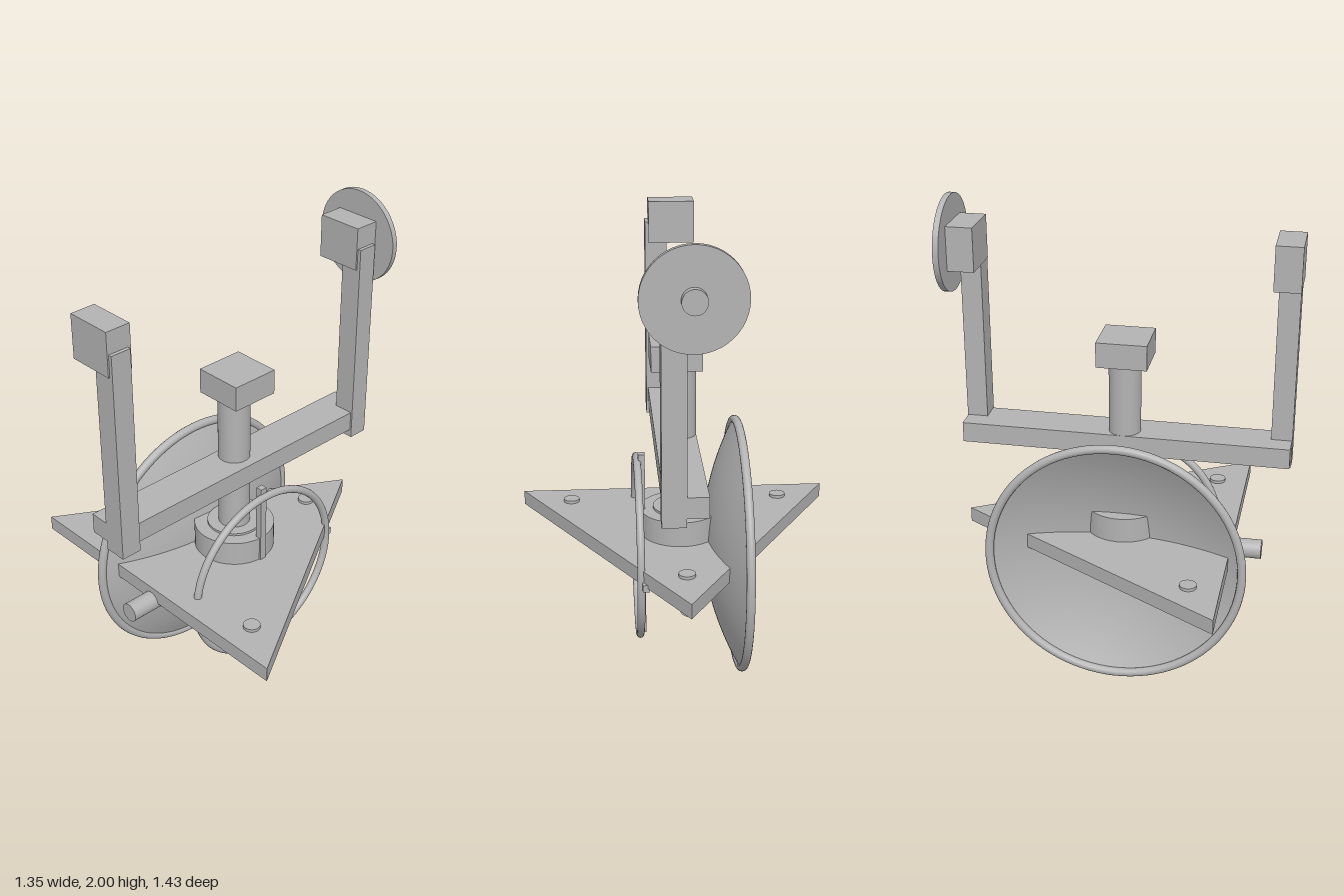
import * as THREE from 'three';

export function createModel() {
  const model = new THREE.Group();
  model.name = 'dishInstrument';
  const grey = new THREE.MeshStandardMaterial({ color: 0xb3b3b3, side: THREE.DoubleSide });
  grey.name = 'plain grey';

  const AXIS_Y = 0.546; // height of the horizontal shafts
  const AXIS_Z = 0.027; // depth of the mast

  const add = (name, geometry, x = 0, y = 0, z = 0) => {
    const mesh = new THREE.Mesh(geometry, grey);
    mesh.name = name;
    mesh.position.set(x, y, z);
    model.add(mesh);
    return mesh;
  };
  // Box given by its lower and upper corners
  const box = (name, [x0, y0, z0], [x1, y1, z1]) =>
    add(name, new THREE.BoxGeometry(x1 - x0, y1 - y0, z1 - z0),
      (x0 + x1) / 2, (y0 + y1) / 2, (z0 + z1) / 2);
  // Cylinder running from start to end along one axis
  const rod = (name, axis, radius, start, end, x, y, z) => {
    const geometry = new THREE.CylinderGeometry(radius, radius, end - start, 48);
    if (axis === 'x') geometry.rotateZ(-Math.PI / 2);
    if (axis === 'z') geometry.rotateX(Math.PI / 2);
    const mesh = add(name, geometry, x, y, z);
    mesh.position[axis] = (start + end) / 2;
    return mesh;
  };
  // Ring facing sideways
  const ring = (name, radius, tube, x, y, z) =>
    add(name, new THREE.TorusGeometry(radius, tube, 14, 96).rotateY(Math.PI / 2), x, y, z);

  // Triangular base plate with three bolts
  const triangle = new THREE.Shape();
  triangle.moveTo(-0.675, -0.492);
  triangle.lineTo(0.675, -0.492);
  triangle.lineTo(0, 0.65);
  triangle.closePath();
  const plate = new THREE.ExtrudeGeometry(triangle, { depth: 0.063, bevelEnabled: false });
  add('basePlate', plate.rotateX(-Math.PI / 2), 0, 0.55, 0);
  for (const [x, z] of [[-0.46, 0.365], [0.46, 0.365], [0, -0.41]])
    rod('plateBolt', 'y', 0.034, 0.6, 0.626, x, 0, z);

  // Mast, its collar and its cap
  rod('mastCollar', 'y', 0.168, 0.58, 0.72, 0, 0, AXIS_Z);
  rod('collarLip', 'y', 0.113, 0.7, 0.73, 0, 0, AXIS_Z);
  rod('mast', 'y', 0.066, 0.6, 1.37, 0, 0, AXIS_Z);
  box('mastCap', [-0.085, 1.35, -0.077], [0.122, 1.455, 0.13]);

  // Shafts below the plate
  rod('longShaft', 'z', 0.04, -0.55, 0.61, 0, AXIS_Y, 0);
  rod('crossShaft', 'x', 0.063, -0.11, 0.155, 0, 0.553, AXIS_Z);

  // Shallow dish, open to the model's right, with a rolled rim
  const profile = [];
  for (let i = 0; i <= 12; i++) {
    const t = i / 12;
    profile.push(new THREE.Vector2(0.528 * t, -0.14 * t * t));
  }
  const dish = new THREE.LatheGeometry(profile, 96).rotateZ(-Math.PI / 2);
  add('dish', dish, -0.1, AXIS_Y, AXIS_Z);
  ring('dishRim', 0.527, 0.018, -0.244, AXIS_Y, AXIS_Z);

  // Hoop with crossed bars
  ring('hoop', 0.377, 0.016, 0.179, 0.55, 0.025);
  box('hoopUpright', [0.147, 0.135, 0.011], [0.175, 0.965, 0.041]);
  box('hoopCrossbar', [0.147, 0.535, -0.389], [0.175, 0.565, 0.441]);

  // Horizontal beam carrying an upright and a sight block at each end
  box('beam', [-0.066, 0.965, -0.645], [0.104, 1.05, 0.708]);
  for (const [back, front] of [[-0.647, -0.562], [0.624, 0.71]])
    box('upright', [0.018, 0.93, back], [0.112, 1.807, front]);
  for (const [back, front] of [[-0.663, -0.555], [0.61, 0.716]])
    box('sightBlock', [-0.1, 1.717, back], [0.097, 1.897, front]);

  // Rear dial with its knob
  rod('dial', 'z', 0.195, -0.687, -0.663, -0.003, 1.805, 0);
  rod('dialKnob', 'z', 0.047, -0.718, -0.68, -0.003, 1.805, 0);

  return model;
}
